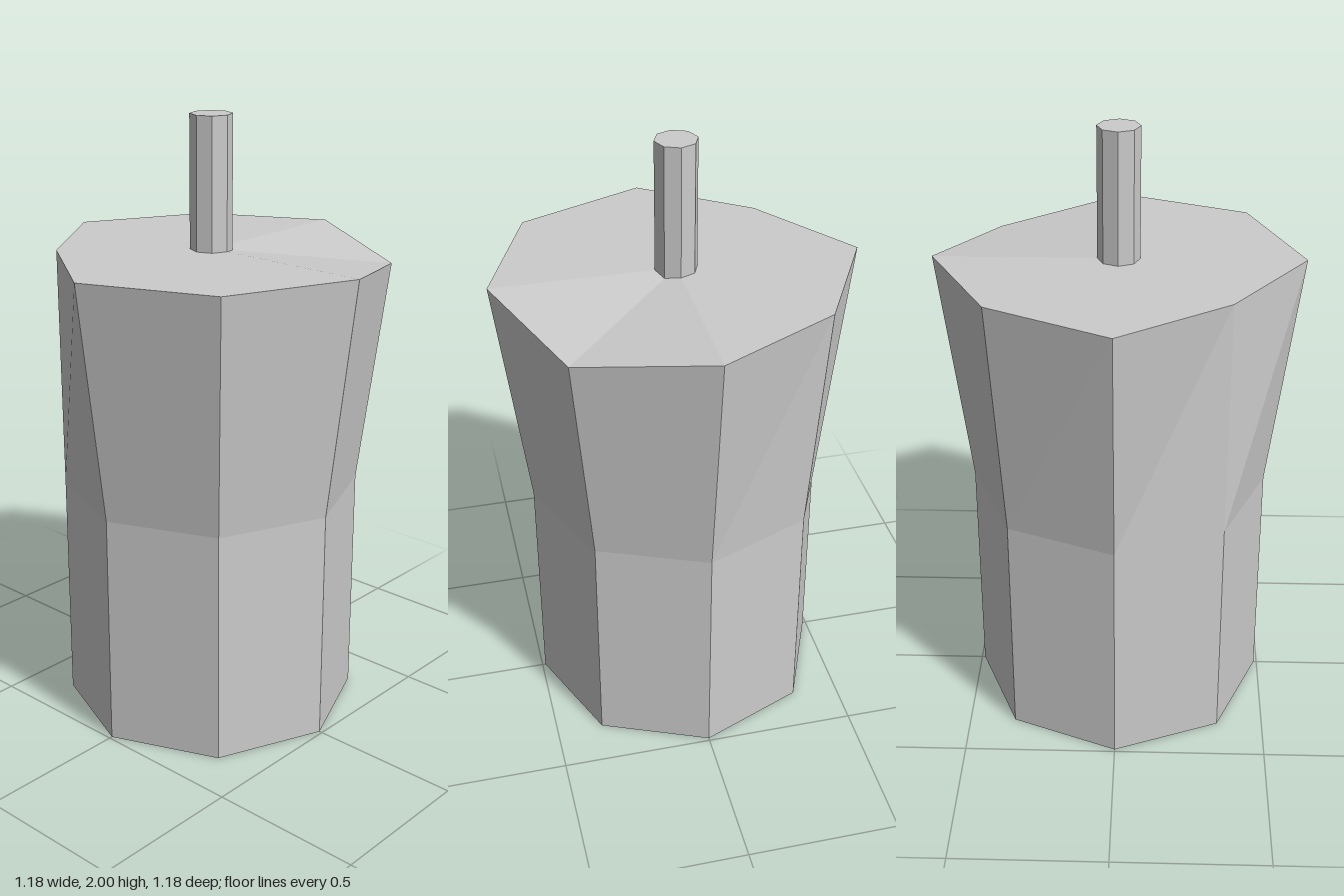
import * as THREE from 'three';

const SIDES = 8;
const TOP = 1.572;

// Upper rim, going round from the front towards +x: slightly irregular [radius, height]
const rim = [
  [0.59, TOP], [0.583, 1.517], [0.59, TOP], [0.55, TOP],
  [0.593, TOP], [0.493, TOP], [0.593, TOP], [0.594, TOP],
];

const ringPoint = (i, radius, y) => {
  const a = (i / SIDES) * Math.PI * 2;
  return [Math.sin(a) * radius, y, Math.cos(a) * radius];
};

// Straight lower half, flared upper half, closed at both ends
function bodyGeometry() {
  const rings = [
    rim.map((_, i) => ringPoint(i, 0.49, 0)),
    rim.map((_, i) => ringPoint(i, 0.49, 0.78)),
    rim.map(([r, y], i) => ringPoint(i, r, y)),
  ];
  const positions = [];
  const tri = (...points) => points.forEach((p) => positions.push(...p));

  for (let i = 0; i < SIDES; i++) {
    const j = (i + 1) % SIDES;
    for (let k = 0; k < rings.length - 1; k++) {
      const low = rings[k], high = rings[k + 1];
      tri(low[i], low[j], high[j]);
      tri(low[i], high[j], high[i]);
    }
    tri([0, 0, 0], rings[0][j], rings[0][i]);
    tri([0, TOP, 0], rings[2][i], rings[2][j]);
  }

  const geometry = new THREE.BufferGeometry();
  geometry.setAttribute('position', new THREE.Float32BufferAttribute(positions, 3));
  geometry.computeVertexNormals();
  return geometry;
}

export function createModel() {
  const model = new THREE.Group();
  model.name = 'flaredBlockWithStem';
  const material = new THREE.MeshStandardMaterial({ color: 0xcccccc, flatShading: true });

  const body = new THREE.Mesh(bodyGeometry(), material);
  body.name = 'body';
  model.add(body);

  // Thin stem, sunk a little into the top
  const base = 1.55;
  const stem = new THREE.Mesh(new THREE.CylinderGeometry(0.068, 0.068, 2 - base, SIDES), material);
  stem.name = 'stem';
  stem.position.y = (2 + base) / 2;
  model.add(stem);

  return model;
}
